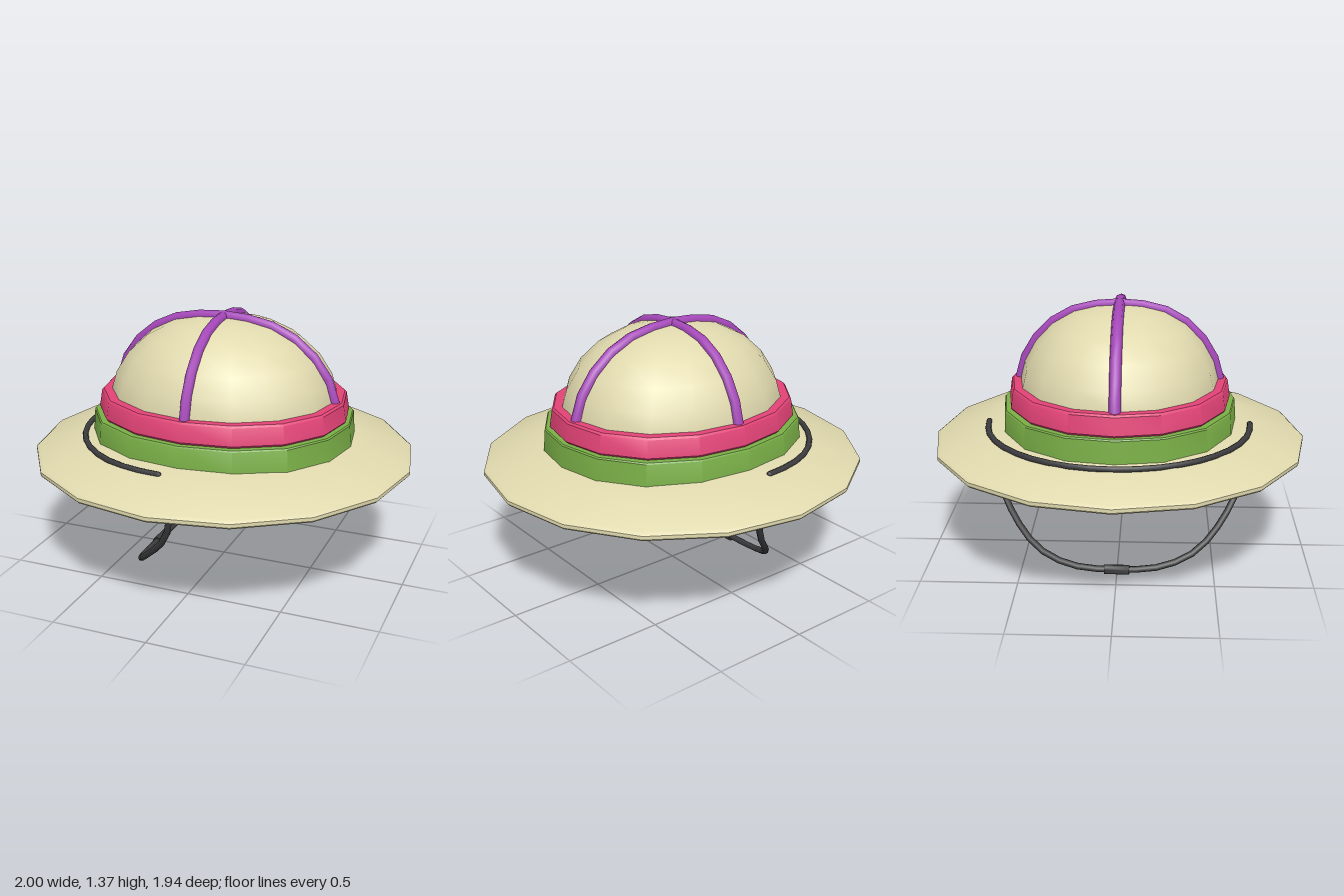
import * as THREE from 'three';
import { toCreasedNormals } from 'three/addons/utils/BufferGeometryUtils.js';

const SIDES = 16;
const material = (name, color) => Object.assign(new THREE.MeshStandardMaterial({ color }), { name });

export function createModel() {
  const hat = new THREE.Group();
  hat.name = 'sunHelmet';
  const tan = material('tan', 0xe0d9ae);
  const green = material('green', 0x79ae46);
  const pink = material('pink', 0xe24377);
  const purple = material('purple', 0xa547b9);
  const charcoal = material('charcoal', 0x3c3c3e);

  const add = (name, geometry, mat, parent = hat) => {
    const mesh = new THREE.Mesh(geometry, mat);
    mesh.name = name;
    parent.add(mesh);
    return mesh;
  };

  // Oval ring or shell turned from a [radius, height] profile; bulge fills out its diagonals
  const turned = (profile, depth, crease, bulge) => {
    const g = new THREE.LatheGeometry(profile.map(p => new THREE.Vector2(...p)), SIDES);
    const p = g.attributes.position;
    for (let i = 0; i < p.count; i++) {
      const f = 1 + bulge * Math.sin(2 * Math.atan2(p.getZ(i), p.getX(i))) ** 2;
      p.setXYZ(i, p.getX(i) * f, p.getY(i), p.getZ(i) * f * depth);
    }
    return toCreasedNormals(g, crease);
  };

  // Tube along points, with rounded ends
  const cord = (name, points, radius, segments, mat) => {
    const group = new THREE.Group();
    group.name = name;
    hat.add(group);
    const path = new THREE.CatmullRomCurve3(points.map(p => new THREE.Vector3(...p)));
    add(name + 'Tube', new THREE.TubeGeometry(path, segments, radius, 8), mat, group);
    for (const t of [0, 1]) {
      add(name + 'End', new THREE.SphereGeometry(radius, 8, 6), mat, group).position.copy(path.getPoint(t));
    }
  };

  // Brim with a thick rim and a shallow hollow underside
  add('brim', turned([[0, 0.74], [0.58, 0.698], [0.69, 0.676], [0.992, 0.611], [1, 0.62], [1, 0.638],
    [0.982, 0.652], [0.69, 0.73], [0.58, 0.745]], 0.972, 0.5, 0.004), tan);

  // Bands around the crown
  add('lowerBand', turned([[0.6, 0.7], [0.692, 0.718], [0.682, 0.84], [0.676, 0.847], [0.58, 0.847]],
    0.885, 0.6, 0.028), green);
  add('upperBand', turned([[0.58, 0.845], [0.65, 0.847], [0.66, 0.858], [0.645, 0.945], [0.635, 0.955],
    [0.56, 0.955]], 0.875, 0.6, 0.018), pink);

  // Dome
  const arc = [[0.597, 0.945], [0.567, 1.045], [0.5, 1.15], [0.4, 1.242], [0.27, 1.307], [0.14, 1.334], [0, 1.343]];
  add('dome', turned([[0.605, 0.85], ...arc], 0.87, 1.2, 0.01), tan);

  // Crossed ribs over the dome
  const rib = [...arc, ...arc.slice(0, -1).reverse().map(([r, y]) => [-r, y])];
  cord('sideRib', rib.map(([r, y]) => [r, y, 0]), 0.029, 12, purple);
  cord('frontRib', rib.map(([r, y]) => [0, y, r * 0.87]), 0.027, 12, purple);

  // Strap lying on the brim
  const over = [];
  for (let i = 0; i <= 12; i++) {
    const a = (i / 12 - 0.5) * Math.PI;
    over.push([-0.065 - 0.67 * Math.cos(a), 0.724, 0.683 * Math.sin(a)]);
  }
  cord('brimStrap', over, 0.015, 20, charcoal);

  // Chin strap hanging from the brim
  const half = [[-0.04, 0.7, 0.684], [-0.015, 0.66, 0.689], [-0.01, 0.58, 0.687], [-0.02, 0.47, 0.67],
    [-0.065, 0.36, 0.635], [-0.13, 0.28, 0.59], [-0.22, 0.19, 0.515], [-0.3, 0.11, 0.42],
    [-0.35, 0.06, 0.305], [-0.375, 0.034, 0.18]];
  cord('chinStrap', [...half, [-0.38, 0.027, 0], ...half.map(([x, y, z]) => [x, y, -z]).reverse()],
    0.017, 24, charcoal);

  // Chin toggle
  const toggle = add('chinToggle', toCreasedNormals(
    new THREE.CylinderGeometry(0.025, 0.025, 0.13, 10), 0.8), charcoal);
  toggle.rotation.x = Math.PI / 2;
  toggle.position.set(-0.38, 0.026, 0);

  return hat;
}
